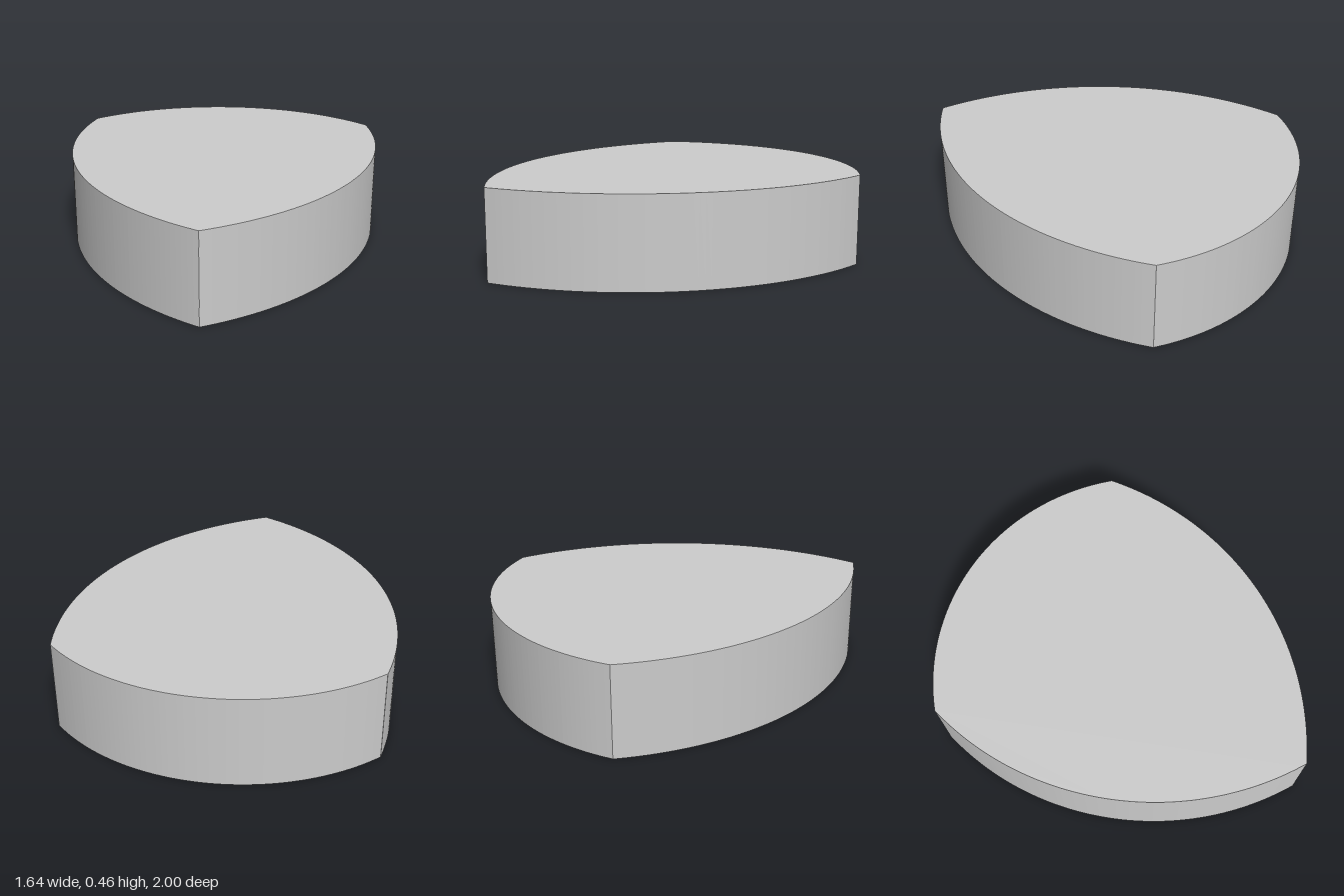
import * as THREE from 'three';

export function createModel() {
  const group = new THREE.Group();
  const height = 0.46;

  // Outline of three arcs: two flanks meeting at the front tip, and a shallow back
  const sideX = 0.7, sideY = 0.35, sideR = 1.52;
  const backY = -0.11, backR = 1.11;
  const corner = { x: 0.784, y: 0.676 };
  const tipAngle = Math.atan2(-1 - sideY, sideX);
  const cornerAngle = Math.atan2(corner.y - sideY, corner.x + sideX);
  const backAngle = Math.atan2(corner.y - backY, corner.x);

  const outline = new THREE.Shape();
  outline.moveTo(0, -1);
  outline.absarc(-sideX, sideY, sideR, tipAngle, cornerAngle, false);
  outline.absarc(0, backY, backR, backAngle, Math.PI - backAngle, false);
  outline.absarc(sideX, sideY, sideR, Math.PI - cornerAngle, Math.PI - tipAngle, false);

  // Lay the slab flat, with the tip towards the front
  const geometry = new THREE.ExtrudeGeometry(outline, {
    depth: height, bevelEnabled: false, curveSegments: 32,
  });
  geometry.rotateX(-Math.PI / 2);

  const slab = new THREE.Mesh(
    geometry,
    new THREE.MeshStandardMaterial({ color: 0xcccccc, flatShading: true }),
  );
  slab.name = 'shieldSlab';
  group.add(slab);
  return group;
}
